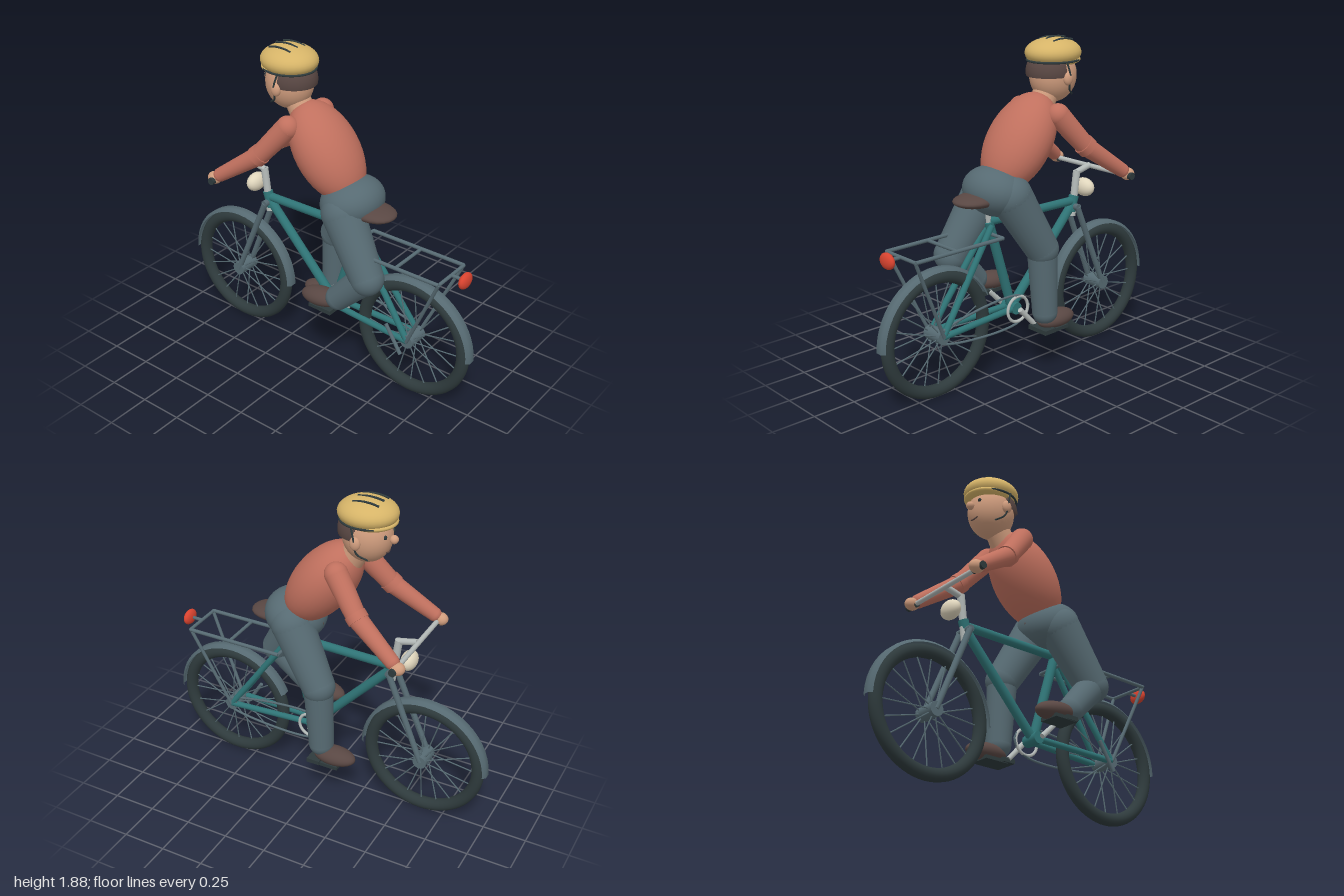
import * as THREE from 'three';

const mat = (name, color, double) => {
  const m = new THREE.MeshStandardMaterial({ color });
  m.name = name;
  if (double) m.side = THREE.DoubleSide;
  return m;
};

export function createModel() {
  const root = new THREE.Group();
  const slate = mat('slateBlue', 0x566a72, true);
  const teal = mat('teal', 0x2f7476);
  const black = mat('tyreBlack', 0x2e3a3c);
  const silver = mat('silver', 0xb4bab8);
  const cream = mat('cream', 0xe0d6bd);
  const shirt = mat('shirtRed', 0xc0705e);
  const skin = mat('skin', 0xcf9c7d);
  const yellow = mat('helmetYellow', 0xd6b468);
  const brown = mat('darkBrown', 0x594743);
  const red = mat('lampRed', 0xd8432f);
  const V = (x, y, z) => new THREE.Vector3(x, y, z);

  const add = (name, geo, material, parent = root) => {
    const m = new THREE.Mesh(geo, material);
    m.name = name;
    parent.add(m);
    return m;
  };
  // tapered rod between two points
  const rod = (name, a, b, ra, rb, material, parent = root, sides = 12) => {
    const from = V(...a), to = V(...b), d = to.clone().sub(from);
    const m = add(name, new THREE.CylinderGeometry(rb, ra, d.length(), sides), material, parent);
    m.position.copy(from).addScaledVector(d, 0.5);
    m.quaternion.setFromUnitVectors(V(0, 1, 0), d.normalize());
    return m;
  };
  // ellipsoid with optional tilt about x
  const blob = (name, p, r, material, parent = root, tilt = 0) => {
    const m = add(name, new THREE.SphereGeometry(1, 32, 20), material, parent);
    m.position.set(...p);
    m.scale.set(...r);
    m.rotation.x = tilt;
    return m;
  };
  const curve = (name, pts, r, material, parent = root, closed = false) =>
    add(name, new THREE.TubeGeometry(new THREE.CatmullRomCurve3(pts.map(p => V(...p)), closed), 40, r, 8, closed), material, parent);
  // limb with rounded joints
  const limb = (name, a, b, ra, rb, material, parent) => {
    rod(name, a, b, ra, rb, material, parent, 24);
    blob(name + 'UpperJoint', a, [ra, ra, ra], material, parent);
    blob(name + 'LowerJoint', b, [rb, rb, rb], material, parent);
  };

  // wheels with spokes, hub and mudguard
  const Y = 0.364, REAR = 0.62, FRONT = -0.614;
  const wheel = (name, z, guardSweep) => {
    const g = new THREE.Group();
    g.name = name;
    g.position.set(0, Y, z);
    root.add(g);
    add('tyre', new THREE.TorusGeometry(0.325, 0.036, 16, 64).rotateY(Math.PI / 2), black, g);
    add('hub', new THREE.CylinderGeometry(0.04, 0.04, 0.13, 20).rotateZ(Math.PI / 2), slate, g);
    for (let i = 0; i < 20; i++) {
      const a = i * Math.PI / 10, c = Math.cos(a), s = Math.sin(a), x = i % 2 ? 0.04 : -0.04;
      rod('spoke', [x, 0.03 * s, 0.03 * c], [0, 0.3 * s, 0.3 * c], 0.004, 0.004, slate, g, 6);
    }
    const profile = [[0.362, -0.036], [0.38, -0.02], [0.38, 0.02], [0.362, 0.036]].map(p => new THREE.Vector2(...p));
    add('mudguard', new THREE.LatheGeometry(profile, 24, 0, guardSweep).rotateZ(Math.PI / 2), slate, g);
  };
  wheel('rearWheel', REAR, Math.PI * 0.87);
  wheel('frontWheel', FRONT, Math.PI);

  // frame
  const bb = [0, 0.38, 0.08], seatTop = [0, 0.92, 0.245], head = [0, 0.91, -0.4];
  rod('seatTube', bb, seatTop, 0.027, 0.027, teal);
  rod('topTube', seatTop, head, 0.025, 0.025, teal);
  rod('downTube', bb, [0, 0.88, -0.39], 0.027, 0.027, teal);
  rod('headTube', [0, 0.85, -0.385], [0, 0.94, -0.415], 0.03, 0.03, teal);
  rod('bracket', [-0.05, 0.38, 0.08], [0.05, 0.38, 0.08], 0.035, 0.035, teal);
  rod('seatPost', seatTop, [0, 1.05, 0.27], 0.018, 0.018, silver);
  for (const s of [-1, 1]) {
    rod('chainStay', [s * 0.03, 0.38, 0.08], [s * 0.055, Y, REAR], 0.018, 0.018, teal);
    rod('seatStay', [s * 0.02, 0.9, 0.24], [s * 0.055, Y, REAR], 0.018, 0.018, teal);
    rod('forkBlade', [s * 0.045, 0.88, -0.4], [s * 0.055, Y, FRONT], 0.018, 0.016, slate);
  }
  rod('forkCrown', [-0.055, 0.88, -0.4], [0.055, 0.88, -0.4], 0.02, 0.02, slate);

  // saddle, narrowing to the nose
  const saddle = new THREE.SphereGeometry(1, 28, 18);
  const sp = saddle.attributes.position;
  for (let i = 0; i < sp.count; i++) sp.setX(i, sp.getX(i) * (0.7 + 0.4 * sp.getZ(i)));
  saddle.scale(0.135, 0.045, 0.225).computeVertexNormals();
  add('saddle', saddle, brown).position.set(0, 1.06, 0.245);

  // handlebar, stem and lamps
  rod('stem', [0, 0.82, -0.4], [0, 1.085, -0.435], 0.022, 0.022, silver);
  rod('stemReach', [0, 1.075, -0.43], [0, 1.1, -0.54], 0.018, 0.018, silver);
  rod('handlebar', [-0.32, 1.095, -0.545], [0.32, 1.095, -0.545], 0.014, 0.014, silver);
  blob('headlamp', [0, 0.975, -0.5], [0.07, 0.055, 0.045], cream);
  blob('tailLamp', [0, 0.855, 0.925], [0.056, 0.045, 0.026], red);

  // luggage rack
  for (const s of [-1, 1]) {
    rod('rackRail', [s * 0.125, 0.855, 0.84], [s * 0.125, 0.855, 0.25], 0.011, 0.011, slate);
    rod('rackStrut', [s * 0.12, 0.855, 0.84], [s * 0.065, Y, REAR], 0.01, 0.01, slate);
  }
  for (const z of [0.84, 0.57, 0.25]) rod('rackCrossbar', [-0.125, 0.855, z], [0.125, 0.855, z], 0.01, 0.01, slate);
  rod('lampBracket', [0, 0.855, 0.84], [0, 0.855, 0.92], 0.01, 0.01, slate);
  rod('kickstand', [-0.09, 0.45, 0.5], [-0.09, 0.29, 0.6], 0.011, 0.011, slate);

  // drivetrain
  add('chainring', new THREE.TorusGeometry(0.075, 0.009, 8, 32).rotateY(Math.PI / 2), silver).position.set(0.055, 0.38, 0.08);
  curve('chain', [[0.055, 0.46, 0.07], [0.055, 0.4, REAR], [0.055, Y, REAR + 0.04], [0.055, 0.325, REAR],
    [0.055, 0.3, 0.07], [0.055, 0.38, -0.005]], 0.007, slate, root, true);
  rod('crank', [0.075, 0.38, 0.08], [0.085, 0.27, -0.02], 0.016, 0.014, silver);
  rod('crank', [-0.075, 0.38, 0.08], [-0.085, 0.47, 0.17], 0.016, 0.014, silver);
  add('pedal', new THREE.BoxGeometry(0.14, 0.025, 0.08), black).position.set(0.15, 0.262, -0.02);
  add('pedal', new THREE.BoxGeometry(0.14, 0.025, 0.08), black).position.set(-0.15, 0.465, 0.17);

  // rider: body
  const rider = new THREE.Group();
  rider.name = 'rider';
  root.add(rider);
  blob('torso', [0, 1.33, 0.02], [0.195, 0.3, 0.165], shirt, rider, -0.64);
  blob('hips', [0, 1.085, 0.195], [0.192, 0.14, 0.175], slate, rider, -0.3);
  rod('neck', [0, 1.49, -0.13], [0, 1.62, -0.21], 0.075, 0.07, skin, rider, 20);

  // rider: arms
  for (const s of [-1, 1]) {
    const shoulder = [s * 0.15, 1.48, -0.13], elbow = [s * 0.215, 1.29, -0.285], wrist = [s * 0.275, 1.125, -0.52];
    limb('upperArm', shoulder, elbow, 0.064, 0.054, shirt, rider);
    limb('forearm', elbow, wrist, 0.054, 0.04, shirt, rider);
    rod('elbowFold', [s * 0.209, 1.308, -0.27], [s * 0.219, 1.279, -0.3], 0.06, 0.06, shirt, rider, 24);
    blob('hand', [s * 0.285, 1.1, -0.555], [0.038, 0.036, 0.042], skin, rider);
    rod('grip', [s * 0.25, 1.095, -0.545], [s * 0.333, 1.095, -0.545], 0.021, 0.021, black, rider);
  }

  // rider: legs, one reaching down and one drawn back
  const leg = (hip, knee, ankle, shoe, tilt) => {
    limb('thigh', hip, knee, 0.12, 0.095, slate, rider);
    limb('shin', knee, ankle, 0.085, 0.072, slate, rider);
    blob('shoe', shoe, [0.07, 0.052, 0.13], brown, rider, tilt);
    add('sole', new THREE.BoxGeometry(0.12, 0.02, 0.15), black, rider).position.set(shoe[0], shoe[1] - 0.045, shoe[2] + 0.03);
  };
  leg([0.095, 1.07, 0.17], [0.145, 0.74, -0.02], [0.15, 0.36, -0.04], [0.15, 0.3, -0.125], 0);
  leg([-0.095, 1.05, 0.2], [-0.14, 0.73, 0.4], [-0.155, 0.545, 0.22], [-0.155, 0.505, 0.1], -0.1);

  // rider: head
  blob('head', [0, 1.67, -0.235], [0.126, 0.15, 0.138], skin, rider);
  const hair = new THREE.SphereGeometry(1, 32, 20, Math.PI, Math.PI, 0, Math.PI * 0.56);
  hair.rotateY(Math.PI);
  const hairMesh = add('hair', hair, brown, rider);
  hairMesh.position.set(0, 1.695, -0.215);
  hairMesh.scale.set(0.13, 0.13, 0.142);
  blob('hairBack', [0, 1.715, -0.2], [0.118, 0.075, 0.125], brown, rider);
  blob('nose', [0, 1.67, -0.385], [0.024, 0.024, 0.024], skin, rider);
  curve('mouth', [[-0.03, 1.6, -0.352], [0, 1.593, -0.357], [0.03, 1.6, -0.352]], 0.004, brown, rider);
  for (const s of [-1, 1]) {
    blob('ear', [s * 0.13, 1.665, -0.225], [0.022, 0.038, 0.03], skin, rider);
    blob('eye', [s * 0.05, 1.695, -0.358], [0.011, 0.012, 0.009], black, rider);
    curve('strap', [[s * 0.138, 1.76, -0.205], [s * 0.146, 1.69, -0.225], [s * 0.13, 1.61, -0.235], [s * 0.1, 1.57, -0.285]], 0.005, black, rider);
  }

  // helmet
  blob('helmet', [0, 1.795, -0.235], [0.149, 0.083, 0.164], yellow, rider);
  blob('helmetBrow', [0, 1.755, -0.255], [0.135, 0.035, 0.142], yellow, rider);
  const band = add('helmetBand', new THREE.TorusGeometry(1, 0.045, 8, 48).rotateX(Math.PI / 2), black, rider);
  band.position.set(0, 1.755, -0.235);
  band.scale.set(0.137, 0.14, 0.15);
  for (const x of [-0.06, 0, 0.06]) {
    const top = z => 1.795 + 0.083 * Math.sqrt(1 - (x / 0.149) ** 2 - (z / 0.164) ** 2);
    curve('helmetVent', [-0.075, -0.025, 0.025, 0.075].map(z => [x, top(z) + 0.002, z - 0.25]), 0.006, black, rider);
  }
  return root;
}
